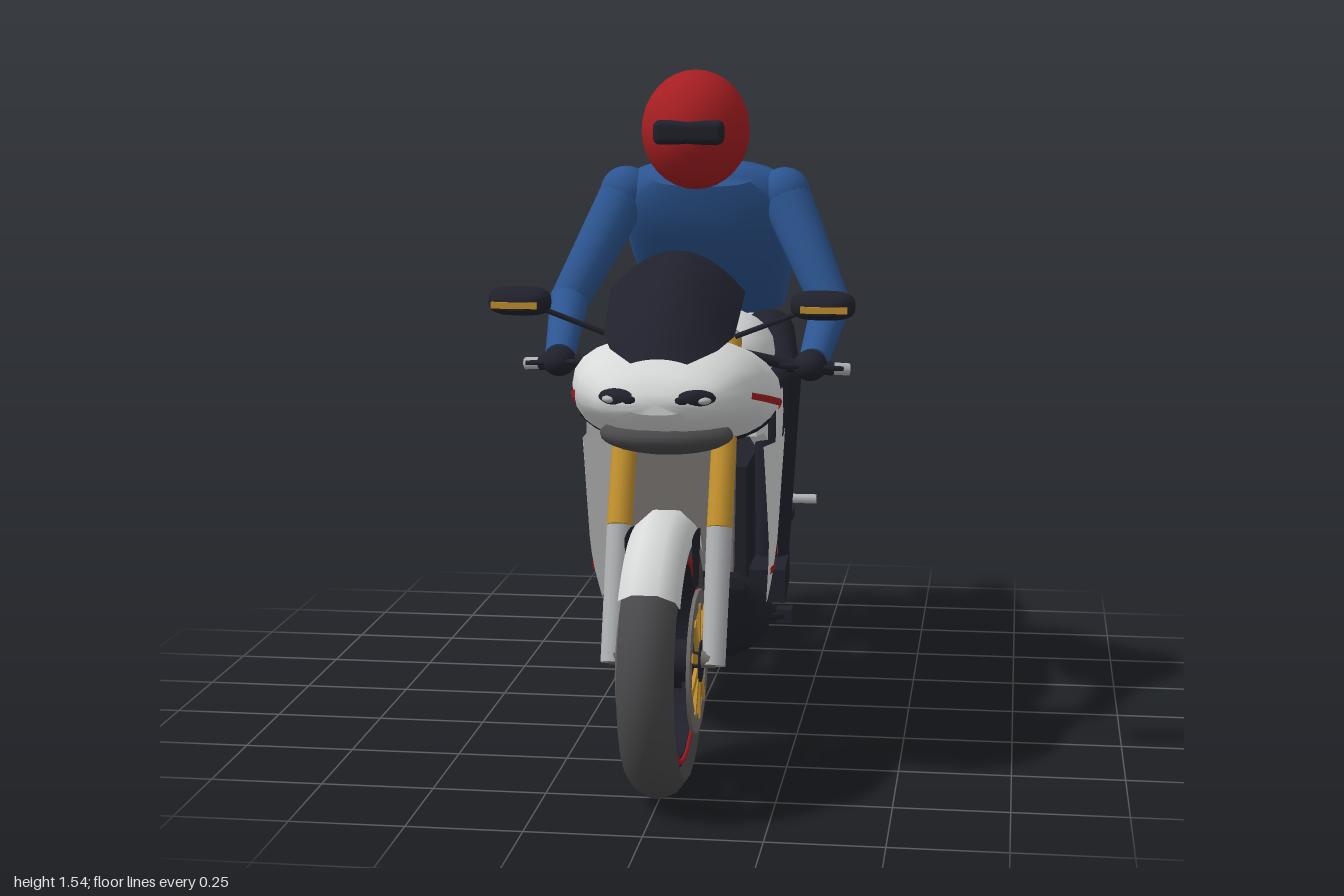
import * as THREE from 'three';
import { toCreasedNormals } from 'three/addons/utils/BufferGeometryUtils.js';
import { RoundedBoxGeometry } from 'three/addons/geometries/RoundedBoxGeometry.js';

const mat = (name, color) => {
  const m = new THREE.MeshStandardMaterial({ color, side: THREE.DoubleSide });
  m.name = name;
  return m;
};
const white = mat('white paint', 0xd8dad9), black = mat('black', 0x21212d), blue = mat('blue jacket', 0x2c5591);
const red = mat('red', 0xa61e21), rubber = mat('rubber', 0x4a4a4c), steel = mat('grey steel', 0x706c69);
const silver = mat('silver', 0xb0b3b5), gold = mat('gold', 0xc4922e);
const V = (x, y, z) => new THREE.Vector3(x, y, z);

export function createModel() {
  const root = new THREE.Group();
  root.name = 'motorcycleWithRider';
  const add = (geo, m, name, parent = root) => {
    const mesh = new THREE.Mesh(geo, m);
    mesh.name = name;
    parent.add(mesh);
    return mesh;
  };
  const both = fn => [1, -1].forEach(fn);
  const box = (w, h, d, x, y, z, m, name, rx = 0) => {
    const b = add(new THREE.BoxGeometry(w, h, d), m, name);
    b.position.set(x, y, z);
    b.rotation.x = rx;
    return b;
  };
  const ball = (x, y, z, rx, ry, rz, m, name) => {
    const s = add(new THREE.SphereGeometry(1, 24, 16), m, name);
    s.position.set(x, y, z);
    s.scale.set(rx, ry, rz);
    return s;
  };
  // Tapered cylinder between two points
  const rod = (a, b, r1, r2, m, name, seg = 12) => {
    const d = b.clone().sub(a);
    const c = add(new THREE.CylinderGeometry(r2, r1, d.length(), seg), m, name);
    c.position.copy(a).addScaledVector(d, 0.5);
    c.quaternion.setFromUnitVectors(V(0, 1, 0), d.normalize());
    return c;
  };
  // Side outline given as [z, y] points, extruded across x
  const slab = (pts, x, t, m, name) => {
    const g = new THREE.ExtrudeGeometry(new THREE.Shape(pts.map(p => new THREE.Vector2(...p))), { depth: t, bevelEnabled: false });
    return add(g.rotateY(-Math.PI / 2).translate(x + t / 2, 0, 0), m, name);
  };
  // Rounded body through stations [zLow, yLow, zHigh, yHigh, halfWidth], ordered front to back
  const sgnPow = (v, p) => Math.sign(v) * Math.abs(v) ** p;
  const loft = (st, n, m, name) => {
    const N = 24, pos = [], idx = [];
    const mid = s => [0, (s[1] + s[3]) / 2, (s[0] + s[2]) / 2];
    for (const s of st) for (let j = 0; j < N; j++) {
      const a = j / N * Math.PI * 2, c = sgnPow(Math.cos(a), 2 / n), k = sgnPow(Math.sin(a), 2 / n) / 2, o = mid(s);
      pos.push(c * s[4], o[1] + k * (s[3] - s[1]), o[2] + k * (s[2] - s[0]));
    }
    const last = (st.length - 1) * N, c0 = st.length * N;
    pos.push(...mid(st[0]), ...mid(st[st.length - 1]));
    for (let j = 0; j < N; j++) {
      const k = (j + 1) % N;
      for (let i = 0; i < last; i += N) idx.push(i + j, i + N + j, i + k, i + k, i + N + j, i + N + k);
      idx.push(c0, j, k, c0 + 1, last + k, last + j);
    }
    const g = new THREE.BufferGeometry();
    g.setAttribute('position', new THREE.Float32BufferAttribute(pos, 3));
    g.setIndex(idx);
    return add(toCreasedNormals(g, 0.8), m, name);
  };
  const upright = (st, n, m, name) => loft(st.map(s => [s[0], s[1], s[0], s[2], s[3]]), n, m, name);
  // Open surface from a function of u, v
  const grid = (nu, nv, fn, m, name) => {
    const g = new THREE.PlaneGeometry(1, 1, nu, nv), p = g.attributes.position, uv = g.attributes.uv;
    for (let i = 0; i < p.count; i++) p.setXYZ(i, ...fn(uv.getX(i), uv.getY(i)));
    g.computeVertexNormals();
    return add(g, m, name);
  };
  const lerpTable = (t, x) => {
    let i = 0;
    while (i < t.length - 2 && x > t[i + 1][0]) i++;
    const k = Math.min(1, Math.max(0, (x - t[i][0]) / (t[i + 1][0] - t[i][0])));
    return t[i].map((v, c) => v + (t[i + 1][c] - v) * k);
  };
  // Mirrored skin panel: rows of [zFront, yFront, zBack, yBack] projected on a width function
  const skin = (rows, widthAt, off, m, name) => both(s => grid(10, (rows.length - 1) * 4, (u, v) => {
    const r = lerpTable(rows.map((q, i) => [i / (rows.length - 1), ...q]), v).slice(1);
    const z = r[0] + (r[2] - r[0]) * u, y = r[1] + (r[3] - r[1]) * u;
    return [s * (widthAt(y, z) + off), y, z];
  }, m, name));
  const hullWidth = (st, n) => (y, z) => {
    const [, b, t, w] = lerpTable([...st].reverse(), z), k = Math.min(1, Math.abs((2 * y - b - t) / (t - b)));
    return w * (1 - k ** n) ** (1 / n);
  };

  // Wheels: tyre, rim, spokes, discs
  const wheel = (z, y, R, w, name) => {
    const g = new THREE.Group();
    g.name = name;
    g.position.set(0, y, z);
    root.add(g);
    const lathe = (pts, m, part, x = 0) => add(toCreasedNormals(new THREE.LatheGeometry(
      pts.map(p => new THREE.Vector2(...p)), 20).rotateZ(Math.PI / 2), 0.7).translate(x, 0, 0), m, part, g);
    const ring = (a, b, h, m, part, x) => lathe([[a, h], [a, -h], [b, -h], [b, h], [a, h]], m, part, x);
    const ri = R - 0.065;
    lathe([[ri, -w * 0.75], [R - 0.04, -w], [R - 0.014, -w * 0.7], [R, -w * 0.2], [R, w * 0.2], [R - 0.014, w * 0.7], [R - 0.04, w], [ri, w * 0.75]], rubber, 'tyre');
    ring(ri - 0.022, ri + 0.004, w * 0.74, black, 'rim');
    both(s => add(new THREE.TorusGeometry(ri - 0.012, 0.007, 6, 32).rotateY(Math.PI / 2).translate(s * w * 0.74, 0, 0), red, 'rimStripe', g));
    for (let i = 0; i < 6; i++) add(new THREE.BoxGeometry(0.035, ri - 0.03, 0.022).translate(0, ri / 2, 0).rotateX(i * Math.PI / 3), black, 'spoke', g);
    ring(0.005, 0.045, 0.085, black, 'hub');
    return { g, ring };
  };
  const FZ = 0.705, FY = 0.3, RZ = -0.685, RY = 0.325;
  const front = wheel(FZ, FY, 0.295, 0.06, 'frontWheel');
  both(s => {
    front.ring(0.115, 0.155, 0.004, steel, 'brakeDisc', s * 0.075);
    for (let i = 0; i < 10; i++) add(new THREE.BoxGeometry(0.008, 0.1, 0.02).translate(s * 0.078, 0.075, 0).rotateX(i * Math.PI / 5), gold, 'discCarrier', front.g);
    box(0.035, 0.09, 0.045, s * 0.09, 0.335, 0.575, red, 'frontCaliper', -0.3);
  });
  const rear = wheel(RZ, RY, 0.315, 0.09, 'rearWheel');
  both(s => rear.ring(0.06, 0.105, 0.005, steel, 'rearDisc', s * 0.08));
  box(0.04, 0.05, 0.08, 0.1, 0.4, -0.65, red, 'rearCaliper', 0.2);

  // Mudguards hugging the tyres
  const guard = (z, y, pts, a, b, m, name) => add(new THREE.LatheGeometry(pts.map(p => new THREE.Vector2(...p)), 14, a, b - a)
    .rotateZ(Math.PI / 2).translate(0, y, z), m, name);
  const arch = (r, w, d) => [[r - d, -w], [r - 0.03, -w * 0.9], [r, -w * 0.4], [r, w * 0.4], [r - 0.03, w * 0.9], [r - d, w]];
  guard(FZ, FY, arch(0.322, 0.066, 0.065), 0.68, 2.25, white, 'frontMudguard');
  both(s => guard(FZ, FY, [[0.16, s * 0.072], [0.285, s * 0.072]], 1.35, 1.85, black, 'mudguardBracket'));
  guard(RZ, RY, arch(0.328, 0.098, 0.06), 0.5, 1.9, rubber, 'rearMudguard');

  // Front forks, clamp and handlebars
  both(s => {
    rod(V(s * 0.11, 0.29, 0.705), V(s * 0.11, 0.57, 0.6), 0.026, 0.028, silver, 'forkLower');
    rod(V(s * 0.11, 0.57, 0.6), V(s * 0.11, 0.96, 0.42), 0.028, 0.028, gold, 'forkUpper');
    rod(V(s * 0.11, 0.96, 0.42), V(s * 0.11, 0.972, 0.414), 0.028, 0.026, silver, 'forkCap');
    rod(V(s * 0.11, 0.972, 0.414), V(s * 0.11, 0.977, 0.412), 0.018, 0.018, red, 'forkAdjuster');
    rod(V(s * 0.11, 0.93, 0.41), V(s * 0.24, 0.895, 0.36), 0.013, 0.013, black, 'handlebar');
    rod(V(s * 0.23, 0.895, 0.36), V(s * 0.335, 0.885, 0.335), 0.016, 0.016, black, 'grip');
    rod(V(s * 0.335, 0.885, 0.335), V(s * 0.37, 0.882, 0.325), 0.014, 0.014, silver, 'barEnd');
    rod(V(s * 0.22, 0.9, 0.4), V(s * 0.36, 0.89, 0.37), 0.007, 0.006, black, 'lever', 6);
  });
  rod(V(-0.115, 0.305, FZ), V(0.115, 0.305, FZ), 0.02, 0.02, steel, 'frontAxle');
  box(0.23, 0.025, 0.055, 0, 0.945, 0.4, silver, 'topClamp');
  box(0.14, 0.09, 0.03, 0, 1.0, 0.52, steel, 'instruments', -0.6);

  // Nose fairing
  const nose = [[0.805, 0.85, 0.895, 0.07], [0.77, 0.82, 0.93, 0.135], [0.7, 0.795, 0.97, 0.182], [0.6, 0.77, 0.99, 0.212],
    [0.5, 0.73, 0.975, 0.228], [0.38, 0.73, 0.94, 0.222], [0.3, 0.76, 0.9, 0.18]];
  upright(nose, 2.3, white, 'noseFairing');
  const noseW = hullWidth(nose, 2.3);
  skin([[0.69, 0.87, 0.37, 0.795], [0.69, 0.884, 0.37, 0.812]], noseW, 0.005, red, 'noseStripe');
  skin([[0.53, 0.735, 0.38, 0.735], [0.52, 0.8, 0.38, 0.785]], noseW, 0.004, black, 'fairingVent');
  ball(0, 0.782, 0.64, 0.145, 0.042, 0.09, rubber, 'airIntake');
  both(s => {
    ball(s * 0.087, 0.882, 0.775, 0.056, 0.022, 0.022, black, 'headlight').rotation.y = s * 0.5;
    ball(s * 0.098, 0.88, 0.783, 0.018, 0.009, 0.016, silver, 'headlightLens').rotation.y = s * 0.5;
  });
  const screen = [[0, 0.75, 0.96, 0.95, 0.06], [0.3, 0.68, 1.035, 0.97, 0.115], [0.6, 0.6, 1.1, 0.99, 0.142], [1, 0.46, 1.16, 1.07, 0.15]];
  grid(12, 10, (u, v) => {
    const [, z, yc, ye, w] = lerpTable(screen, v), t = 2 * u - 1;
    return [t * w, ye + (yc - ye) * (1 - t * t), z];
  }, black, 'windscreen');

  // Mirrors: half shells with a flat back
  both(s => {
    rod(V(s * 0.14, 0.985, 0.56), V(s * 0.29, 1.045, 0.58), 0.006, 0.006, black, 'mirrorStalk', 6);
    const shell = upright([[0.62, 1.04, 1.065, 0.03], [0.605, 1.03, 1.08, 0.058], [0.578, 1.025, 1.09, 0.07]], 3, black, 'mirror');
    shell.position.x = s * 0.33;
    box(0.1, 0.014, 0.008, s * 0.335, 1.052, 0.619, gold, 'mirrorIndicator');
  });

  // Side fairing and belly
  const widths = [[0.14, 0.09], [0.22, 0.15], [0.35, 0.19], [0.45, 0.205], [0.6, 0.215], [0.75, 0.225], [0.9, 0.22]];
  const taper = [[-0.15, 0.75], [0, 0.87], [0.2, 0.96], [0.35, 1], [0.45, 0.97], [0.55, 0.88]];
  const sideW = (y, z) => lerpTable(widths, y)[1] * lerpTable(taper, z)[1];
  skin([[0.37, 0.35, 0.2, 0.365], [0.42, 0.43, 0.06, 0.41], [0.48, 0.585, 0.09, 0.565], [0.54, 0.74, 0.13, 0.72]], sideW, 0, white, 'sideFairing');
  skin([[0.42, 0.72, 0.13, 0.7], [0.4, 0.84, 0.14, 0.815]], sideW, -0.006, white, 'upperSideFairing');
  skin([[0.415, 0.425, 0.06, 0.405], [0.425, 0.443, 0.06, 0.422]], sideW, 0.005, red, 'sideStripe');
  [0.635, 0.595, 0.55].forEach(y => skin([[0.33, y, 0.23, y - 0.03], [0.34, y + 0.016, 0.23, y - 0.012]], sideW, 0.005, black, 'sideSlot'));
  upright([[0.36, 0.34, 0.42, 0.14], [0.3, 0.22, 0.42, 0.17], [0.2, 0.16, 0.4, 0.182], [0.03, 0.14, 0.36, 0.17], [-0.16, 0.145, 0.24, 0.1]], 2.1, black, 'bellyPan');
  box(0.24, 0.3, 0.03, 0, 0.58, 0.4, steel, 'radiator', -0.15);

  // Engine, frame and swingarm
  box(0.26, 0.32, 0.4, 0, 0.48, 0.06, black, 'engine');
  both(s => {
    rod(V(s * 0.1, 0.43, -0.09), V(s * 0.165, 0.43, -0.09), 0.1, 0.085, rubber, 'engineCover', 16);
    slab([[0.36, 0.82], [0.1, 0.81], [-0.06, 0.73], [-0.17, 0.61], [-0.23, 0.49], [-0.15, 0.47], [-0.08, 0.56], [0.03, 0.65], [0.2, 0.71], [0.36, 0.73]], s * 0.145, 0.04, white, 'frameSpar');
    slab([[-0.17, 0.5], [-0.3, 0.47], [-0.37, 0.43], [-0.75, 0.36], [-0.75, 0.3], [-0.5, 0.345], [-0.17, 0.38]], s * 0.125, 0.035, silver, 'swingarm');
    box(0.01, 0.025, 0.09, s * 0.147, 0.33, -0.69, black, 'axleAdjuster');
    rod(V(s * 0.1, 0.62, -0.12), V(s * 0.1, 0.82, -0.42), 0.014, 0.014, black, 'subframe', 8);
    rod(V(s * 0.13, 0.5, -0.44), V(s * 0.11, 0.72, -0.34), 0.011, 0.011, black, 'pegHanger', 8);
    rod(V(s * 0.13, 0.45, -0.32), V(s * 0.245, 0.45, -0.32), 0.012, 0.012, silver, 'footPeg', 8);
    rod(V(s * 0.04, 0.785, -0.83), V(s * 0.125, 0.785, -0.83), 0.011, 0.011, black, 'rearIndicator', 8);
    box(0.04, 0.018, 0.008, s * 0.105, 0.785, -0.842, gold, 'rearIndicatorLens');
  });
  box(0.24, 0.11, 0.09, 0, 0.44, -0.24, silver, 'swingarmPivot');
  rod(V(-0.13, RY, RZ), V(0.13, RY, RZ), 0.03, 0.03, silver, 'rearAxle');
  rod(V(0, 0.44, -0.24), V(0, 0.72, -0.17), 0.024, 0.024, silver, 'shock');
  for (let i = 0; i < 4; i++) add(new THREE.TorusGeometry(0.032, 0.008, 6, 14).rotateX(Math.PI / 2)
    .translate(0, 0.52 + i * 0.026, -0.22 + i * 0.007), red, 'shockSpring');

  // Exhaust on the right and side stand on the left
  add(new THREE.TubeGeometry(new THREE.CatmullRomCurve3([V(0, 0.3, 0.25), V(-0.06, 0.2, 0), V(-0.12, 0.23, -0.18), V(-0.19, 0.31, -0.35)]), 16, 0.038, 10), steel, 'exhaustPipe');
  rod(V(-0.15, 0.25, -0.16), V(-0.205, 0.38, -0.53), 0.045, 0.055, steel, 'muffler', 14);
  rod(V(-0.205, 0.38, -0.53), V(-0.213, 0.4, -0.6), 0.055, 0.042, rubber, 'mufflerTip', 14);
  rod(V(0.1, 0.19, -0.08), V(0.16, 0.145, -0.31), 0.009, 0.009, black, 'sideStand', 8);
  box(0.04, 0.035, 0.045, 0.165, 0.145, -0.325, black, 'sideStandFoot');

  // Tank, seat and tail
  upright([[0.35, 0.8, 0.92, 0.12], [0.25, 0.78, 0.98, 0.17], [0.1, 0.78, 0.995, 0.18], [0, 0.78, 0.965, 0.16], [-0.09, 0.78, 0.89, 0.11], [-0.15, 0.78, 0.84, 0.08]], 2.4, white, 'tank');
  rod(V(0, 0.985, 0.2), V(0, 1.0, 0.2), 0.035, 0.03, silver, 'fuelCap', 16);
  upright([[-0.02, 0.74, 0.86, 0.1], [-0.2, 0.72, 0.88, 0.125], [-0.42, 0.77, 0.89, 0.12]], 3, black, 'seat');
  const tail = [[-0.34, 0.81, 0.87, 0.1], [-0.42, 0.8, 0.94, 0.13], [-0.55, 0.82, 0.985, 0.112], [-0.7, 0.865, 0.988, 0.08], [-0.9, 0.935, 0.968, 0.035]];
  upright(tail, 2.3, white, 'tail');
  const tailW = hullWidth(tail, 2.3);
  skin([[-0.42, 0.838, -0.9, 0.94], [-0.42, 0.85, -0.9, 0.964]], tailW, 0.005, red, 'tailStripe');
  skin([[-0.42, 0.815, -0.62, 0.86], [-0.42, 0.83, -0.62, 0.873]], tailW, 0.004, black, 'tailVent');
  slab([[-0.55, 0.84], [-0.68, 0.86], [-0.87, 0.785], [-0.935, 0.68], [-0.8, 0.73], [-0.62, 0.79]], 0, 0.1, rubber, 'plateHolder');
  box(0.17, 0.12, 0.008, 0, 0.735, -0.912, silver, 'plate', 0.52);

  // Rider
  loft([[0.07, 1.27, 0.01, 1.325, 0.13], [0.06, 1.21, -0.04, 1.328, 0.19], [0.03, 1.14, -0.12, 1.275, 0.205], [-0.06, 1.05, -0.24, 1.165, 0.195],
    [-0.2, 0.94, -0.365, 1.09, 0.178], [-0.33, 0.92, -0.42, 0.99, 0.16]], 2.5, blue, 'torso');
  ball(0, 1.408, 0.155, 0.125, 0.137, 0.146, red, 'helmet');
  add(new RoundedBoxGeometry(0.16, 0.055, 0.05, 3, 0.016).translate(0, 1.408, 0.28), black, 'visor');
  both(s => {
    const shoulder = V(s * 0.19, 1.25, -0.01), elbow = V(s * 0.31, 1.0, 0.1), wrist = V(s * 0.29, 0.9, 0.33);
    rod(shoulder, elbow, 0.06, 0.046, blue, 'upperArm', 18);
    rod(elbow, wrist, 0.046, 0.034, blue, 'forearm', 18);
    ball(...shoulder.toArray(), 0.062, 0.062, 0.062, blue, 'shoulder');
    ball(...elbow.toArray(), 0.047, 0.047, 0.047, blue, 'elbow');
    ball(s * 0.285, 0.895, 0.36, 0.038, 0.035, 0.045, black, 'glove');
    const hip = V(s * 0.12, 0.868, -0.33), knee = V(s * 0.185, 0.825, 0.07), ankle = V(s * 0.165, 0.37, 0.03);
    rod(hip, knee, 0.068, 0.052, black, 'thigh', 18);
    ball(...knee.toArray(), 0.054, 0.054, 0.054, black, 'knee');
    rod(knee, ankle, 0.054, 0.042, black, 'shin', 18);
    box(0.085, 0.078, 0.24, s * 0.168, 0.348, 0.09, black, 'boot').rotation.y = s * 0.05;
  });
  return root;
}
